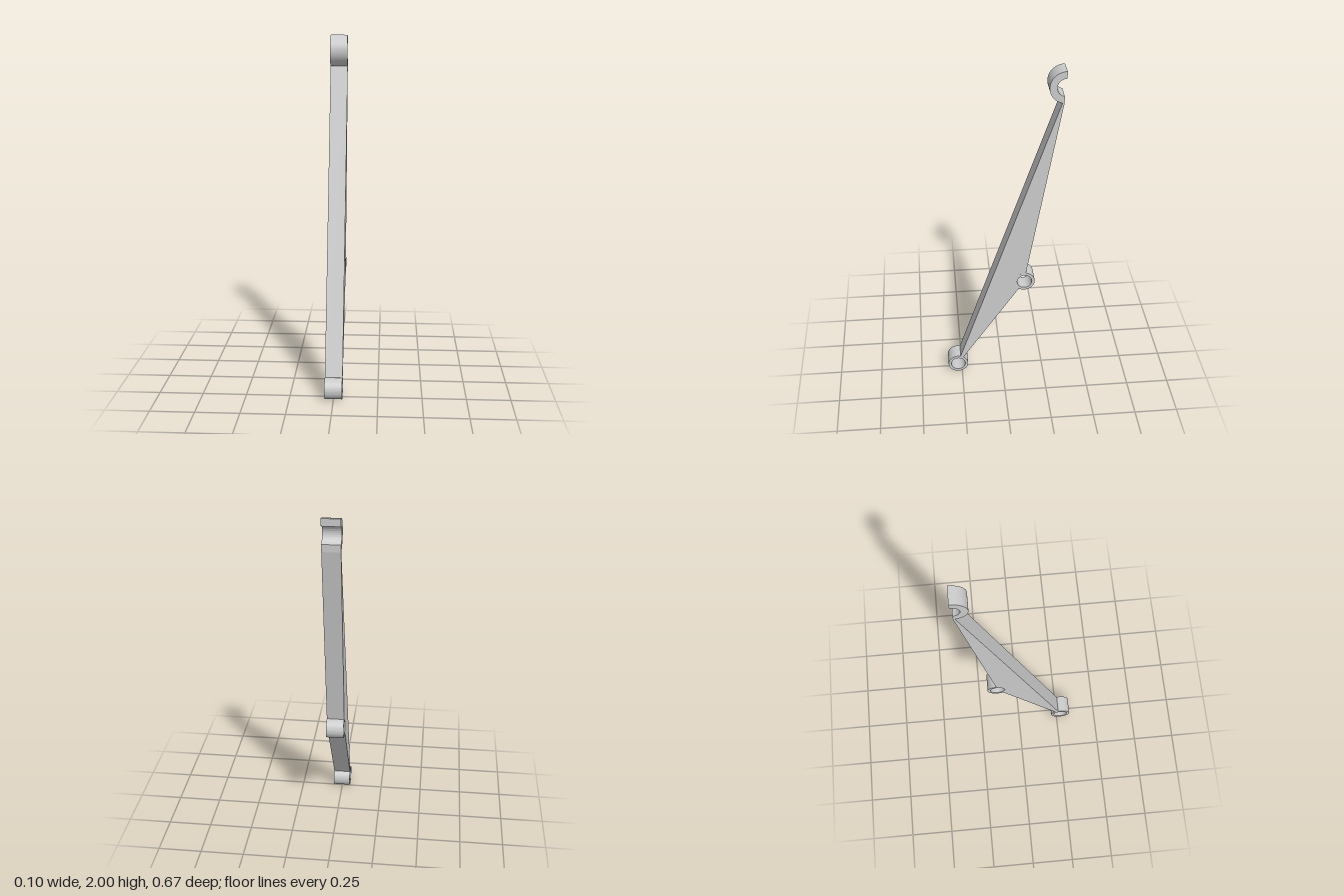
import * as THREE from 'three';
import { toCreasedNormals } from 'three/addons/utils/BufferGeometryUtils.js';

const WIDTH = 0.1;
const RING_OUTER = 0.06, RING_INNER = 0.043;
const LOWER = [0.273, 0.06], MIDDLE = [-0.131, 0.672], HOOK = [-0.335, 1.91];
const rad = THREE.MathUtils.degToRad;

export function createModel() {
  const group = new THREE.Group();
  const material = new THREE.MeshStandardMaterial({ color: 0xcccccc });

  // Extrudes a side profile drawn in (z, y) across the width of the lever
  function addProfile(name, shape) {
    const geometry = new THREE.ExtrudeGeometry(shape, { depth: WIDTH, bevelEnabled: false, curveSegments: 40 });
    geometry.translate(0, 0, -WIDTH / 2).rotateY(-Math.PI / 2);
    const mesh = new THREE.Mesh(toCreasedNormals(geometry, rad(35)), material);
    mesh.name = name;
    group.add(mesh);
  }

  // Pivot bushings
  function addRing(name, [z, y]) {
    const shape = new THREE.Shape().absarc(z, y, RING_OUTER, 0, Math.PI * 2, false);
    shape.holes.push(new THREE.Path().absarc(z, y, RING_INNER, 0, Math.PI * 2, true));
    addProfile(name, shape);
  }
  addRing('lowerBushing', LOWER);
  addRing('middleBushing', MIDDLE);

  // Open half-ring hook, its lower lip slightly shorter than the upper
  const hook = new THREE.Shape();
  hook.absarc(...HOOK, 0.09, rad(-83.6), rad(90), false);
  hook.absarc(...HOOK, 0.05, rad(90), rad(-78.5), true);
  hook.closePath();
  addProfile('hook', hook);

  // Tapered arm, cut around both bushings
  const arm = new THREE.Shape();
  arm.moveTo(-0.315, 1.823);
  arm.lineTo(-0.325, 1.822);
  arm.absarc(...MIDDLE, RING_OUTER, rad(97), rad(-57), true);
  arm.absarc(...LOWER, RING_OUTER, rad(123), rad(105), true);
  arm.closePath();
  addProfile('arm', arm);

  return group;
}
